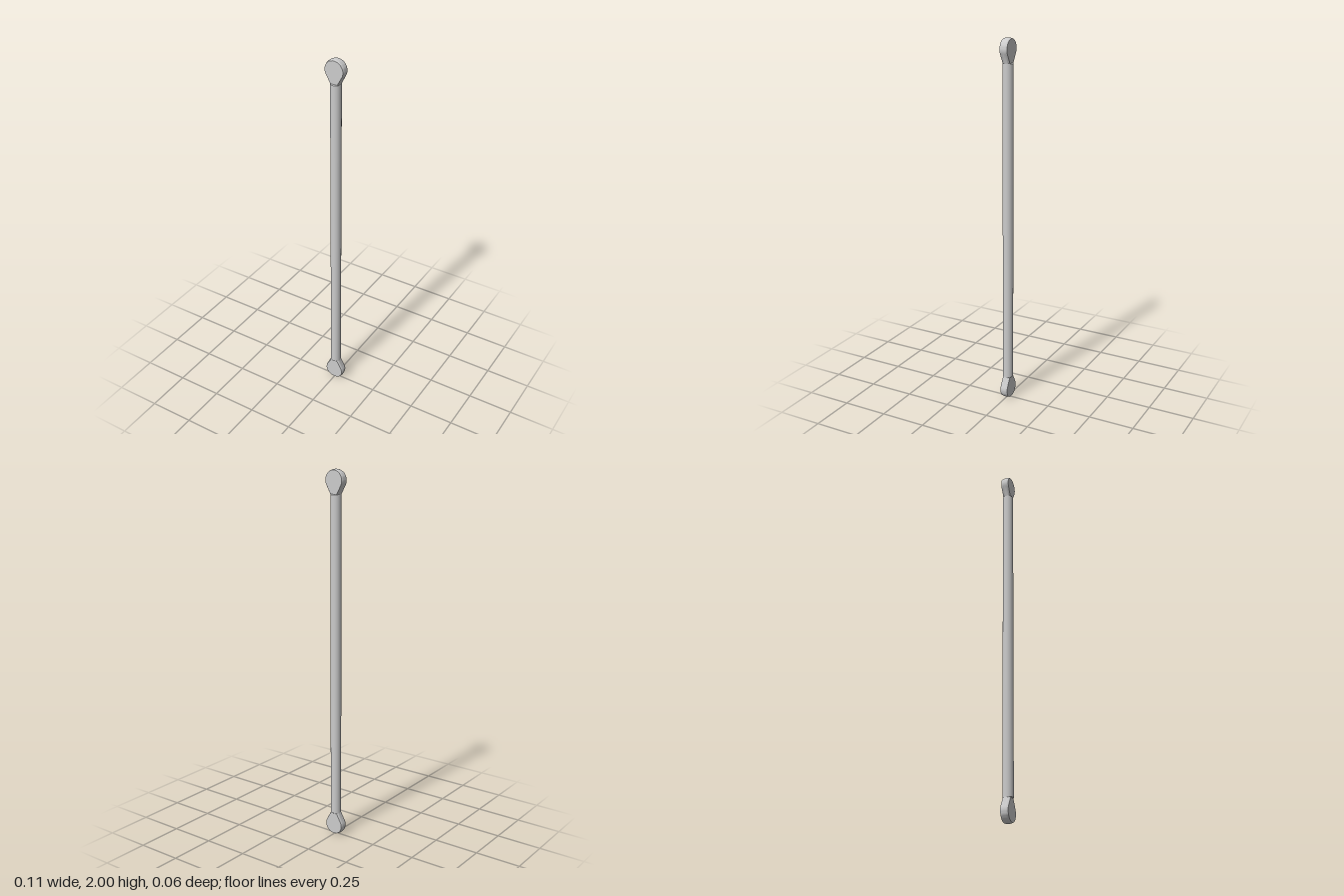
import * as THREE from 'three';
import { toCreasedNormals } from 'three/addons/utils/BufferGeometryUtils.js';

const ROD_R = 0.0285;   // rod radius
const BALL_R = 0.0553;  // knob radius
const FLAT = 0.021;     // half thickness between the flats
const SHOULDER = 0.872; // height where the rod meets the knob, from mid-height
const ARC = 10;         // segments per rounded side

// Round cross-section of radius r, with front and back cut flat at |z| = cut
function ring(r, y, cut) {
  const a = r > cut ? Math.asin(cut / r) : Math.PI / 2;
  const points = [];
  for (const side of [0, Math.PI]) {
    for (let i = 0; i <= ARC; i++) {
      const t = side - a + (2 * a * i) / ARC;
      points.push([r * Math.cos(t), y, r * Math.sin(t)]);
    }
  }
  return points;
}

// Skin a stack of equal-length closed rings, from low to high
function loft(rings) {
  const n = rings[0].length;
  const index = [];
  for (let i = 0; i < rings.length - 1; i++) {
    for (let j = 0; j < n; j++) {
      const k = (j + 1) % n;
      const a = i * n + j, b = i * n + k, c = a + n, d = b + n;
      index.push(a, c, b, b, c, d);
    }
  }
  const g = new THREE.BufferGeometry();
  g.setAttribute('position', new THREE.Float32BufferAttribute(rings.flat(2), 3));
  g.setIndex(index);
  return toCreasedNormals(g, 0.5);
}

// Teardrop knob: shoulder, cone tangent to a ball, and flats on front and back
function knobGeometry() {
  const centre = 1 - BALL_R;
  const low = THREE.MathUtils.degToRad(-25);
  const rim = Math.acos(FLAT / BALL_R); // where the flats run out on the ball
  const rings = [ring(ROD_R, SHOULDER, ROD_R), ring(ROD_R, SHOULDER + 0.003, FLAT)];
  const onBall = (t) => rings.push(
    ring(BALL_R * Math.max(0, Math.cos(t)), centre + BALL_R * Math.sin(t), FLAT));
  for (let i = 0; i <= 12; i++) onBall(low + ((rim - low) * i) / 12);
  for (let i = 1; i <= 4; i++) onBall(rim + ((Math.PI / 2 - rim) * i) / 4);
  return loft(rings);
}

export function createModel() {
  const group = new THREE.Group();
  group.name = 'knobbedRod';
  const material = new THREE.MeshStandardMaterial({ color: 0xcccccc });

  // Long straight rod
  const rod = new THREE.Mesh(
    new THREE.CylinderGeometry(ROD_R, ROD_R, 2 * SHOULDER, 2 * ARC, 1, true), material);
  rod.name = 'rod';
  rod.position.y = 1;
  group.add(rod);

  // Matching flattened knobs at both ends
  const geometry = knobGeometry();
  for (const [name, turn] of [['topKnob', 0], ['bottomKnob', Math.PI]]) {
    const knob = new THREE.Mesh(geometry, material);
    knob.name = name;
    knob.position.y = 1;
    knob.rotation.z = turn;
    group.add(knob);
  }
  return group;
}
